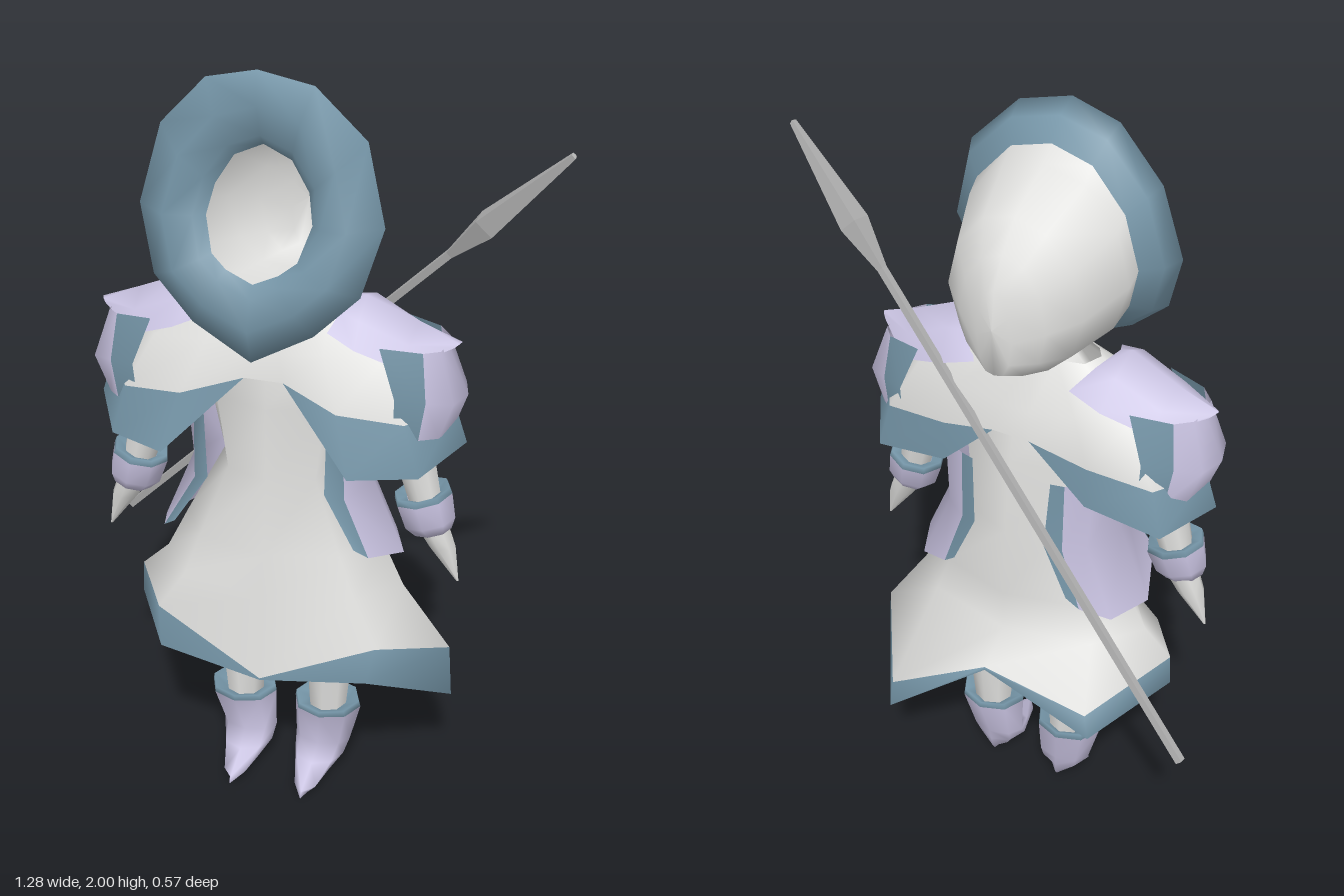
import * as THREE from 'three';

const mat = (name, color) => {
  const m = new THREE.MeshStandardMaterial({ color, side: THREE.DoubleSide });
  m.name = name;
  return m;
};

// Surface through rows of [x, y, z] points; bands gives one material per row gap
function loft(name, rows, bands, closed = true) {
  const n = rows[0].length, cols = closed ? n : n - 1;
  const geo = new THREE.BufferGeometry();
  geo.setAttribute('position', new THREE.Float32BufferAttribute(rows.flat(2), 3));
  const index = [], mats = [...new Set(bands)];
  for (let r = 0; r < rows.length - 1; r++) {
    geo.addGroup(index.length, cols * 6, mats.indexOf(bands[r] ?? bands[bands.length - 1]));
    for (let c = 0; c < cols; c++) {
      const a = r * n + c, b = r * n + (c + 1) % n;
      index.push(a, b, b + n, a, b + n, a + n);
    }
  }
  geo.setIndex(index);
  geo.computeVertexNormals();
  const mesh = new THREE.Mesh(geo, mats);
  mesh.name = name;
  return mesh;
}

// Oval ring at height y, running from the front round by +x
const oval = (y, rx, zf, zb, cx = 0, n = 8) => Array.from({ length: n }, (_, i) => {
  const a = i / n * Math.PI * 2;
  return [cx + rx * Math.sin(a), y, (zf + zb) / 2 + (zf - zb) / 2 * Math.cos(a)];
});

// Complete a half ring by mirroring it in x
const mirrorRing = half => [...half,
  ...half.filter(p => p[0] !== 0).reverse().map(([x, y, z]) => [-x, y, z])];

const flip = (rows, s) => rows.map(r => r.map(([x, y, z]) => [x * s, y, z]));
const lerp = THREE.MathUtils.lerp;

export function createModel() {
  const cloth = mat('pale cloth', 0xe0e0de);
  const trim = mat('blue trim', 0x7494a6);
  const armour = mat('lavender armour', 0xc8c2e0);
  const metal = mat('grey metal', 0xb0b0b0);

  const model = new THREE.Group();
  model.name = 'hoodedFigure';
  const body = new THREE.Group();
  body.name = 'body';
  body.position.x = -0.06;
  model.add(body);

  // Dress with an uneven, trimmed hem
  body.add(loft('dress', [
    [[0, .39, .23], [.28, .42, .2], [.465, .29, 0], [.3, .29, -.26],
      [0, .56, -.25], [-.29, .42, -.22], [-.41, .47, .03], [-.29, .42, .2]],
    [[0, .395, .23], [.3, .52, .185], [.455, .44, 0], [.29, .38, -.255],
      [0, .57, -.25], [-.28, .5, -.22], [-.405, .56, .03], [-.3, .53, .18]],
    oval(.63, .33, .205, -.15),
    oval(.75, .27, .19, -.15),
    oval(.95, .165, .16, -.14),
    oval(1.15, .2, .16, -.115),
    oval(1.32, .2, .14, -.08),
    oval(1.42, .1, .1, -.03),
  ], [trim, cloth]));

  // Short mantle, pointed at centre front and back
  body.add(loft('mantle', [
    [[.05, 1.235, .17], [.24, 1.045, .26], [.4, 1.04, .19], [.485, 1.085, .05],
      [.4, 1.05, -.09], [.2, 1.08, -.1], [.05, 1.23, -.11]],
    [[.05, 1.235, .17], [.2, 1.195, .22], [.36, 1.175, .185], [.455, 1.175, .05],
      [.37, 1.175, -.08], [.2, 1.19, -.095], [.05, 1.23, -.11]],
    [[.04, 1.3, .157], [.15, 1.32, .17], [.29, 1.31, .15], [.36, 1.3, .05],
      [.29, 1.32, -.06], [.16, 1.32, -.085], [.04, 1.3, -.09]],
    [[.02, 1.43, .11], [.08, 1.43, .1], [.14, 1.42, .08], [.16, 1.42, .05],
      [.14, 1.42, 0], [.08, 1.43, -.03], [.02, 1.43, -.04]],
  ].map(mirrorRing), [trim, cloth]));

  // Hood: half outlines of the padded rim [outer x, y, z, inner x, y, back z, crest z]
  const rim = [
    [0, 2, .18, 0, 1.82, .08, .19], [.13, 1.97, .165, .07, 1.79, .08, .195],
    [.25, 1.85, .15, .115, 1.72, .075, .205], [.3, 1.66, .175, .13, 1.65, .085, .23],
    [.255, 1.5, .215, .105, 1.57, .125, .265], [.15, 1.4, .24, .065, 1.54, .17, .28],
    [0, 1.32, .255, 0, 1.51, .2, .28],
  ];
  const across = (t, zOf) => mirrorRing(rim.map(p =>
    [lerp(p[0], p[3], t), lerp(p[1], p[4], t), zOf(p)]));
  const back = across(.42, p => p[5]);
  body.add(loft('hoodRim', [
    back,
    across(.13, p => lerp(p[2], p[5], .6)),
    across(0, p => p[2]),
    across(.45, p => p[6]),
    across(.85, p => p[6] - .02),
    across(1, p => p[6] - .045),
  ], [trim]));
  const shrink = (sx, y0, y1, z) => back.map(([x, y]) =>
    [x * sx, lerp(y0, y1, Math.max(.09, (y - 1.4) / .524)), z]);
  body.add(loft('hood', [
    back,
    shrink(1, 1.39, 1.89, .04),
    shrink(.78, 1.39, 1.82, -.09),
    shrink(.5, 1.41, 1.75, -.15),
    shrink(.2, 1.43, 1.68, -.188),
    shrink(0, 1.58, 1.58, -.2),
  ], [cloth]));

  for (const s of [1, -1]) {
    const side = new THREE.Group();
    side.name = s > 0 ? 'leftSide' : 'rightSide';
    body.add(side);
    const part = (name, rows, bands, closed) => side.add(loft(name, flip(rows, s), bands, closed));

    // Vest panel wrapping the hip, edged front and back
    part('vestPanel', [
      [[.16, 1.12, .165], [.155, .94, .165], [.24, .81, .19]],
      [[.195, 1.12, .145], [.2, .92, .14], [.275, .785, .175]],
      [[.26, 1.12, .03], [.245, .93, .03], [.33, .73, .03]],
      [[.21, 1.12, -.07], [.2, .93, -.075], [.28, .73, -.085]],
      [[.145, 1.12, -.1], [.145, .92, -.105], [.2, .75, -.11]],
      [[.11, 1.12, -.108], [.1, .93, -.12], [.165, .78, -.118]],
    ], [trim, armour, armour, armour, trim], false);

    // Upper arm guard with edging
    part('armGuard', [
      [[.29, 1.36, .17], [.335, 1.24, .19], [.33, 1.13, .18]],
      [[.39, 1.35, .145], [.405, 1.23, .165], [.39, 1.13, .165]],
      [[.425, 1.345, .11], [.465, 1.22, .13], [.43, 1.12, .12]],
      [[.43, 1.345, .06], [.485, 1.22, .06], [.45, 1.12, .05]],
      [[.425, 1.345, .01], [.465, 1.22, -.01], [.43, 1.12, -.01]],
      [[.39, 1.35, -.03], [.405, 1.23, -.045], [.39, 1.13, -.05]],
      [[.29, 1.36, -.06], [.335, 1.24, -.08], [.33, 1.13, -.08]],
    ], [trim, armour, armour, armour, armour, trim], false);

    // Pointed shoulder plate
    part('shoulderPlate', [
      [[.13, 1.375, -.06], [.17, 1.42, 0], [.2, 1.44, .07], [.18, 1.42, .12], [.16, 1.38, .165]],
      [[.22, 1.35, -.075], [.23, 1.42, -.02], [.23, 1.45, .07], [.23, 1.41, .14], [.23, 1.35, .18]],
      [[.34, 1.31, -.05], [.35, 1.36, -.01], [.36, 1.395, .06], [.35, 1.36, .13], [.34, 1.31, .165]],
      [[.45, 1.345, .04], [.46, 1.352, .05], [.465, 1.355, .06], [.46, 1.352, .07], [.45, 1.345, .08]],
    ], [armour], false);

    // Arm, cuff and pointed hand
    part('arm', [
      oval(1.3, .07, .12, -.01, .29),
      oval(1.05, .055, .11, .0, .35),
      oval(.88, .042, .1, .02, .395),
    ], [cloth]);
    const tilt = rows => rows.map(r => r.map(([x, y, z]) => [x, y + (x - .4) * .25, z]));
    part('cuff', tilt([
      oval(.93, .04, .1, .02, .38),
      oval(.945, .07, .133, -.013, .38),
      oval(.928, .074, .137, -.017, .383),
      oval(.86, .068, .128, .0, .4),
      oval(.83, .05, .11, .02, .41),
      oval(.83, .02, .08, .04, .41),
    ]), [trim, trim, armour]);
    part('hand', [
      oval(.85, .045, .1, .015, .405),
      oval(.79, .036, .092, .024, .435),
      oval(.69, .003, .063, .057, .48),
    ], [cloth]);

    // Leg and pointed boot
    part('leg', [
      oval(.72, .08, .1, -.08, .125),
      oval(.4, .068, .075, -.06, .125),
      oval(.19, .052, .065, -.045, .12),
    ], [cloth]);
    part('boot', [
      oval(.2, .05, .06, -.04, .12),
      oval(.22, .09, .1, -.068, .122),
      oval(.202, .094, .098, -.07, .122),
      oval(.085, .078, .062, -.04, .108),
      oval(.05, .07, .11, -.036, .105),
      oval(.015, .042, .195, -.03, .103),
      oval(0, .015, .205, -.02, .103),
    ], [trim, trim, armour]);
  }

  // Spear slung diagonally across the back
  const start = new THREE.Vector3(-.637, .546, -.27), tip = new THREE.Vector3(.637, 1.834, .06);
  const len = start.distanceTo(tip);
  const profile = [[0, 0], [.013, 0], [.013, 1.42], [.038, 1.55], [.009, len - .005], [0, len]];
  const spearGeo = new THREE.LatheGeometry(profile.map(p => new THREE.Vector2(...p)), 4).toNonIndexed();
  spearGeo.rotateY(Math.PI / 4);
  spearGeo.computeVertexNormals();
  const spear = new THREE.Mesh(spearGeo, metal);
  spear.name = 'spear';
  spear.position.copy(start).add(new THREE.Vector3(0, 0, -.012));
  spear.quaternion.setFromUnitVectors(new THREE.Vector3(0, 1, 0), tip.clone().sub(start).normalize());
  model.add(spear);

  return model;
}
